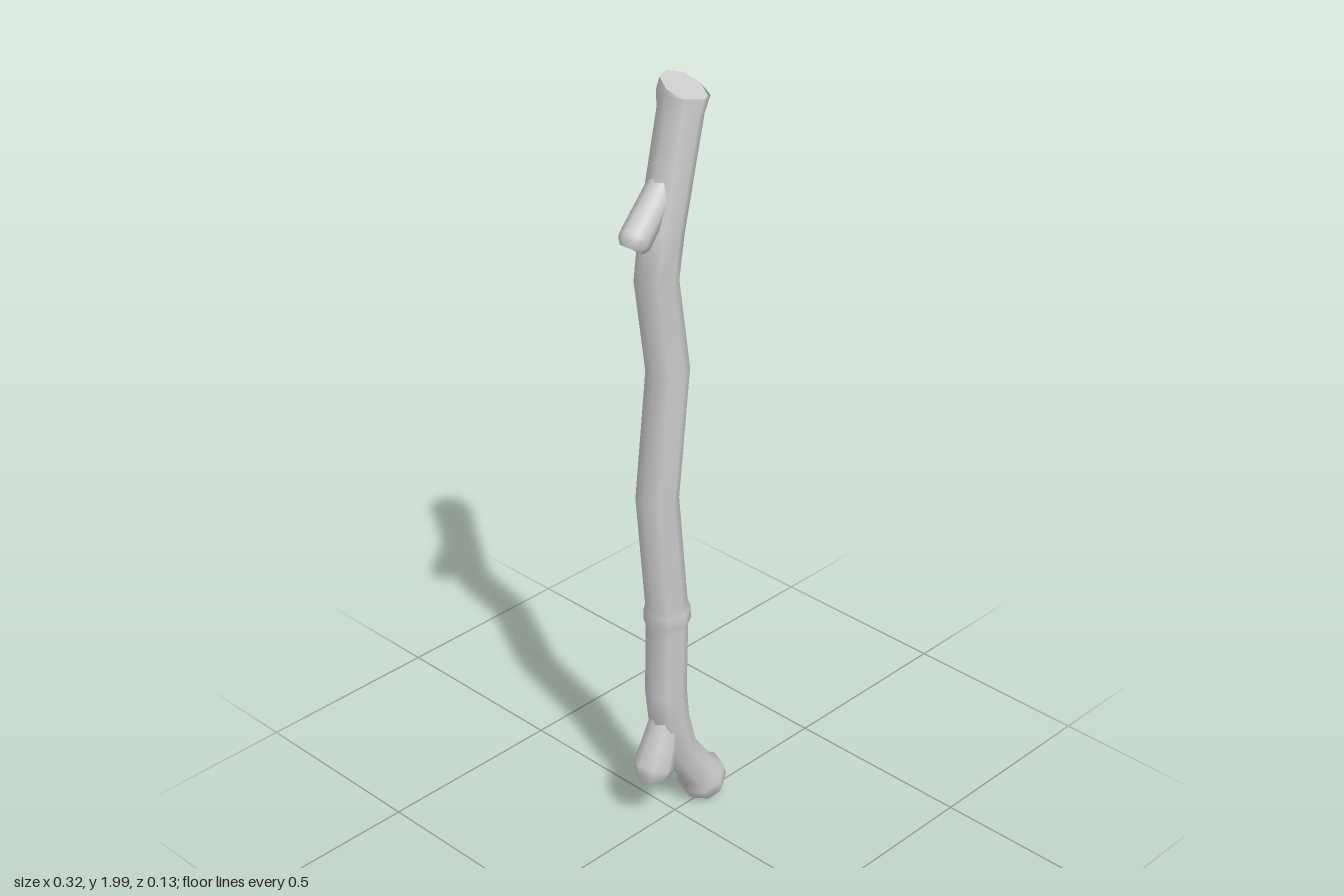
import * as THREE from 'three';

const SIDES = 8;

// Capped tube through rings [x, y, radius], smooth along its sides.
// endNormal optionally tilts the last ring.
function limb(name, rings, material, endNormal) {
  const centres = rings.map(([x, y]) => new THREE.Vector3(x, y, 0));
  const last = rings.length - 1;
  const positions = [];
  const indices = [];
  const loops = rings.map(([, , radius], i) => {
    const direction = (a, b) => centres[b].clone().sub(centres[a]).normalize();
    const normal = direction(Math.max(i - 1, 0), Math.max(i, 1))
      .add(direction(Math.min(i, last - 1), Math.min(i + 1, last))).normalize();
    if (i === last && endNormal) normal.copy(endNormal).normalize();
    const w = new THREE.Vector3(0, 0, 1).addScaledVector(normal, -normal.z).normalize();
    const u = w.clone().cross(normal);
    return Array.from({ length: SIDES }, (_, k) => {
      const angle = (k / SIDES) * Math.PI * 2 + 0.07;
      return centres[i].clone()
        .addScaledVector(u, radius * Math.cos(angle))
        .addScaledVector(w, radius * Math.sin(angle));
    });
  });
  loops.forEach((loop) => loop.forEach((p) => positions.push(p.x, p.y, p.z)));
  for (let i = 0; i < last; i++) {
    for (let k = 0; k < SIDES; k++) {
      const a = i * SIDES + k;
      const b = i * SIDES + ((k + 1) % SIDES);
      indices.push(a, b, b + SIDES, a, b + SIDES, a + SIDES);
    }
  }
  // Flat cut ends with their own vertices, so the rims stay sharp
  for (const end of [0, last]) {
    const start = positions.length / 3;
    loops[end].forEach((p) => positions.push(p.x, p.y, p.z));
    for (let k = 1; k < SIDES - 1; k++) {
      if (end) indices.push(start, start + k, start + k + 1);
      else indices.push(start, start + k + 1, start + k);
    }
  }
  const geometry = new THREE.BufferGeometry();
  geometry.setAttribute('position', new THREE.Float32BufferAttribute(positions, 3));
  geometry.setIndex(indices);
  geometry.computeVertexNormals();
  const mesh = new THREE.Mesh(geometry, material);
  mesh.name = name;
  return mesh;
}

export function createModel() {
  const group = new THREE.Group();
  group.name = 'woodenStick';
  const material = new THREE.MeshStandardMaterial({ color: 0xcccccc });

  // Crooked main stem, from the knobbed foot up to the slanted cut
  group.add(limb('stem', [
    [0.115, 0.024, 0.044],
    [0.106, 0.048, 0.06],
    [0.093, 0.078, 0.065],
    [0.081, 0.098, 0.051],
    [0.01, 0.2, 0.05],
    [-0.022, 0.31, 0.051],
    [-0.032, 0.4, 0.052],
    [-0.028, 0.59, 0.052],
    [-0.027, 0.605, 0.058],
    [-0.028, 0.638, 0.058],
    [-0.03, 0.655, 0.052],
    [-0.06, 0.96, 0.052],
    [-0.024, 1.29, 0.052],
    [-0.06, 1.53, 0.052],
    [-0.043, 1.65, 0.053],
    [0.018, 1.92, 0.054],
    [0.026, 1.958, 0.061],
    [0.028, 1.972, 0.059],
  ], material, new THREE.Vector3(0.2, 1, 0.45)));

  // Short cut twig near the top
  group.add(limb('upperTwig', [
    [-0.025, 1.775, 0.035],
    [-0.122, 1.658, 0.039],
    [-0.131, 1.645, 0.038],
    [-0.139, 1.633, 0.028],
  ], material));

  // Swollen stub beside the foot
  group.add(limb('lowerStub', [
    [-0.025, 0.34, 0.036],
    [-0.055, 0.245, 0.046],
    [-0.075, 0.193, 0.052],
    [-0.08, 0.175, 0.048],
    [-0.085, 0.156, 0.037],
  ], material));

  return group;
}
